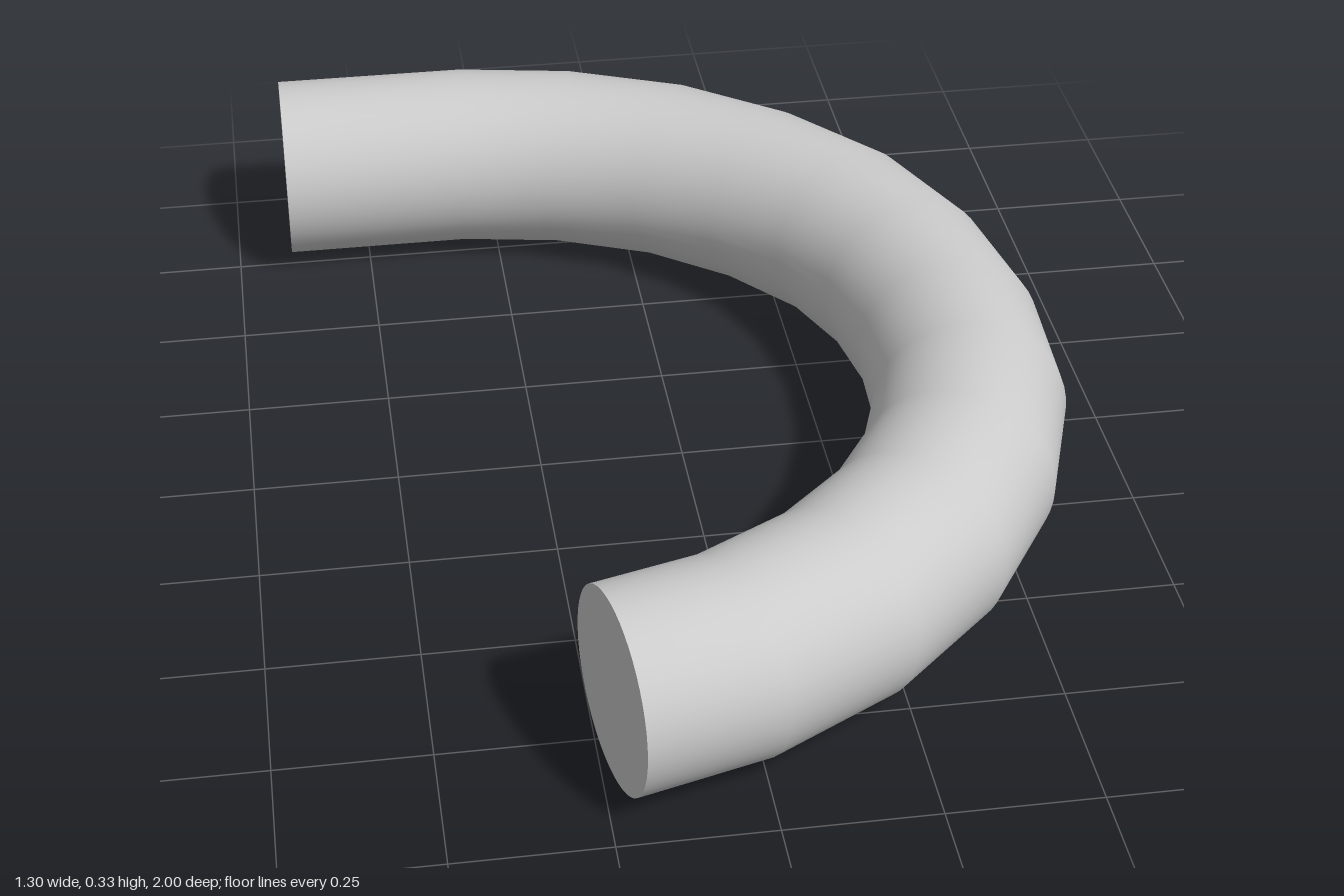
import * as THREE from 'three';

const RADIUS = 0.1645;
const SIDES = 48;

// Centre line of the bent pipe, as x and z
const PATH = [
  [-0.65, -0.836], [-0.307, -0.836], [-0.114, -0.801], [0.077, -0.72], [0.239, -0.595],
  [0.368, -0.437], [0.447, -0.248], [0.481, -0.042], [0.471, 0.167], [0.405, 0.363],
  [0.295, 0.535], [0.146, 0.677], [-0.038, 0.782], [-0.2325, 0.837],
].map(([x, z]) => new THREE.Vector3(x, RADIUS, z));

// Directions of the path: square ends, mitred bends between
function tangents() {
  const last = PATH.length - 1;
  const step = (i) => PATH[i + 1].clone().sub(PATH[i]).normalize();
  return PATH.map((p, i) => {
    if (i === 0) return step(0);
    if (i === last) return new THREE.Vector3(-0.98, 0, 0.195).normalize();
    return step(i - 1).add(step(i)).normalize();
  });
}

// Smooth wall swept from a circle at each path point
function wallGeometry(dirs) {
  const positions = [], normals = [], index = [];
  const row = SIDES + 1;
  PATH.forEach((p, i) => {
    const t = dirs[i];
    for (let j = 0; j <= SIDES; j++) {
      const a = (j / SIDES) * Math.PI * 2;
      const n = new THREE.Vector3(t.z * Math.cos(a), Math.sin(a), -t.x * Math.cos(a));
      positions.push(p.x + n.x * RADIUS, p.y + n.y * RADIUS, p.z + n.z * RADIUS);
      normals.push(n.x, n.y, n.z);
      if (i < PATH.length - 1 && j < SIDES) {
        const k = i * row + j;
        index.push(k, k + 1, k + row, k + 1, k + row + 1, k + row);
      }
    }
  });
  const geometry = new THREE.BufferGeometry();
  geometry.setAttribute('position', new THREE.Float32BufferAttribute(positions, 3));
  geometry.setAttribute('normal', new THREE.Float32BufferAttribute(normals, 3));
  geometry.setIndex(index);
  return geometry;
}

export function createModel() {
  const group = new THREE.Group();
  group.name = 'bentPipe';
  const material = new THREE.MeshStandardMaterial({ color: 0xcccccc });
  const dirs = tangents();

  const wall = new THREE.Mesh(wallGeometry(dirs), material);
  wall.name = 'pipeWall';
  group.add(wall);

  // Flat discs closing both ends, facing outwards
  const addCap = (name, centre, dir) => {
    const cap = new THREE.Mesh(new THREE.CircleGeometry(RADIUS, SIDES), material);
    cap.name = name;
    cap.position.copy(centre);
    cap.rotation.y = Math.atan2(dir.x, dir.z);
    group.add(cap);
  };
  addCap('backEndCap', PATH[0], dirs[0].clone().negate());
  addCap('frontEndCap', PATH[PATH.length - 1], dirs[dirs.length - 1]);

  return group;
}
